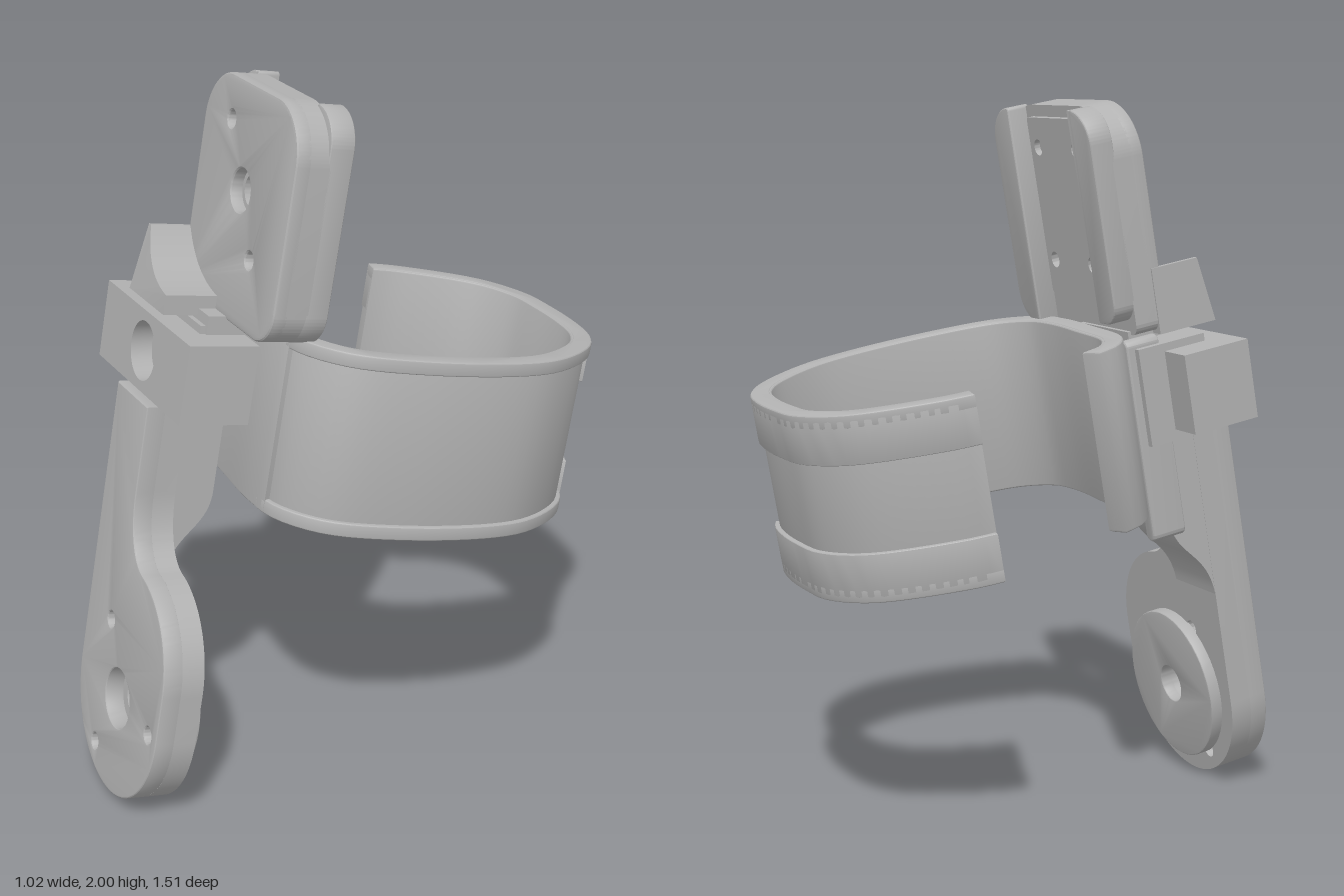
import * as THREE from 'three';
import { toCreasedNormals } from 'three/addons/utils/BufferGeometryUtils.js';

const grey = new THREE.MeshStandardMaterial({ color: 0xb2b2b2 });
grey.name = 'matte grey';

export function createModel() {
  const model = new THREE.Group();
  model.name = 'strapMountBracket';
  // the whole bracket leans back and turns a little
  const rig = new THREE.Group();
  rig.name = 'bracket';
  rig.position.set(0, 1, 0);
  rig.rotation.set(-Math.PI / 18, -Math.PI / 18, 0, 'YXZ');
  model.add(rig);

  const add = (name, geo) => {
    const m = new THREE.Mesh(toCreasedNormals(geo, 0.4), grey);
    m.name = name;
    rig.add(m);
  };
  const extrude = (shape, from, to, bevel = 0) => {
    const g = new THREE.ExtrudeGeometry(shape, {
      depth: to - from - 2 * bevel, bevelEnabled: bevel > 0, bevelThickness: bevel,
      bevelSize: bevel, bevelOffset: -bevel, bevelSegments: 3, curveSegments: 24,
    });
    g.translate(0, 0, from + bevel);
    return g;
  };
  // flat part in the xy plane, from depth z0 to z1
  const plate = (name, shape, z0, z1, bevel) => add(name, extrude(shape, z0, z1, bevel));
  const holes = (shape, list) => {
    for (const [x, y, r] of list) {
      const p = new THREE.Path();
      p.absarc(x, y, r, 0, Math.PI * 2, true);
      shape.holes.push(p);
    }
    return shape;
  };
  // rectangle with four corner radii: bottom left, bottom right, top right, top left
  const roundRect = (x0, x1, y0, y1, [a, b, c, d] = [0, 0, 0, 0]) => {
    const s = new THREE.Shape(), H = Math.PI / 2;
    s.moveTo(x0 + a, y0);
    s.lineTo(x1 - b, y0);
    if (b) s.absarc(x1 - b, y0 + b, b, -H, 0, false);
    s.lineTo(x1, y1 - c);
    if (c) s.absarc(x1 - c, y1 - c, c, 0, H, false);
    s.lineTo(x0 + d, y1);
    if (d) s.absarc(x0 + d, y1 - d, d, H, 2 * H, false);
    s.lineTo(x0, y0 + a);
    if (a) s.absarc(x0 + a, y0 + a, a, 2 * H, 3 * H, false);
    return s;
  };

  // ---- open strap ring: strips that follow one plan curve ----
  const plan = new THREE.CatmullRomCurve3([
    [-0.37, 0.12], [-0.34, 0.195], [-0.25, 0.26], [-0.05, 0.287], [0.15, 0.3], [0.27, 0.28],
    [0.38, 0.185], [0.443, -0.022], [0.456, -0.28], [0.423, -0.431], [0.313, -0.597],
    [0.21, -0.665], [0.093, -0.692], [-0.05, -0.7], [-0.18, -0.69], [-0.319, -0.608],
    [-0.442, -0.38], [-0.46, -0.3],
  ].map(([x, z]) => new THREE.Vector3(x, 0, z)), false, 'centripetal');
  const strip = (name, u0, u1, inner, outer, y0, y1, bevel) => {
    const n = Math.ceil(70 * (u1 - u0)) + 2, out = [], inn = [];
    for (let i = 0; i <= n; i++) {
      const u = Math.min(1, u0 + (u1 - u0) * (i / n));
      const p = plan.getPointAt(u), t = plan.getTangentAt(u);
      const at = d => new THREE.Vector2(p.x - t.z * d, -(p.z + t.x * d));
      out.push(at(outer));
      inn.unshift(at(inner));
    }
    const g = extrude(new THREE.Shape([...out, ...inn]), y0, y1, bevel);
    g.rotateX(-Math.PI / 2);
    add(name, g);
  };
  strip('strapBand', 0, 1, -0.06, -0.014, -0.183, 0.323, 0.006);
  strip('strapFrontPad', 0, 0.245, -0.055, 0, -0.185, 0.325, 0.008);
  strip('strapUpperRim', 0.23, 1, -0.055, 0, 0.285, 0.325, 0.006);
  strip('strapLowerRim', 0.23, 1, -0.055, 0, -0.185, -0.145, 0.006);
  strip('strapUpperGuide', 0.66, 1, -0.045, 0, 0.19, 0.31, 0.004);
  strip('strapLowerGuide', 0.66, 1, -0.045, 0, -0.17, -0.05, 0.004);

  // ---- clamp block with a counterbored screw hole ----
  const cx = -0.135, cy = 0.157;
  const clamp = r => holes(roundRect(-0.424, 0.154, 0.046, 0.268), [[cx, cy, r]]);
  plate('clampFront', clamp(0.083), 0.485, 0.548);
  plate('clampBack', clamp(0.045), 0.345, 0.485);
  plate('clampCore', holes(roundRect(-0.32, 0.05, 0.015, 0.29), [[cx, cy, 0.045]]), 0.265, 0.475);
  plate('railPost', roundRect(-0.3, -0.255, -0.26, 0.315, [0.02, 0.02, 0.02, 0.02]), 0.24, 0.345, 0.008);

  // ---- lower arm with a round mounting foot ----
  const hx = 0.033, hy = -0.816, R = 0.279;
  const screws = [0, 1, 2].map(i => {
    const a = i * Math.PI * 2 / 3;
    return [hx + 0.222 * Math.cos(a), hy + 0.222 * Math.sin(a), 0.024];
  });
  const armShape = r => {
    const s = new THREE.Shape();
    s.moveTo(-0.246, 0.03);
    s.lineTo(hx - R, hy);
    s.absarc(hx, hy, R, Math.PI, Math.PI * 2, false);
    s.lineTo(hx + R, -0.68);
    s.absarc(hx + R - 0.265, -0.68, 0.265, 0, Math.PI * 0.46, false);
    s.bezierCurveTo(0.01, -0.4, -0.03, -0.32, -0.03, -0.22);
    s.lineTo(-0.03, 0.03);
    return holes(s, [[hx, hy, r], ...screws]);
  };
  plate('armFront', armShape(0.085), 0.5, 0.56, 0.006);
  plate('armBack', armShape(0.055), 0.44, 0.505);
  const disc = new THREE.Shape();
  disc.absarc(hx, hy, 0.225, 0, Math.PI * 2, false);
  plate('footDisc', holes(disc, [[hx, hy, 0.055]]), 0.405, 0.445, 0.004);

  // thick upper arm, its back sweeping down into the foot
  const sweep = new THREE.Shape();
  sweep.moveTo(-0.5, 0.03);
  sweep.lineTo(-0.325, 0.03);
  sweep.lineTo(-0.325, -0.22);
  sweep.bezierCurveTo(-0.325, -0.34, -0.43, -0.34, -0.44, -0.48);
  sweep.lineTo(-0.5, -0.48);
  const sweepGeo = extrude(sweep, -0.245, -0.03);
  sweepGeo.rotateY(Math.PI / 2);
  add('armSweep', sweepGeo);

  // ---- upper head: rounded plate with side walls, open at the back ----
  const small = [[-0.078, 0.825, 0.023], [0.14, 0.5, 0.023]];
  const others = [[0.14, 0.825, 0.023], [-0.078, 0.5, 0.023]];
  const head = r => holes(roundRect(-0.246, 0.325, 0.31, 0.943, [0.03, 0.1, 0.15, 0.15]),
    [[0.033, 0.66, r], ...small]);
  plate('headFront', head(0.057), 0.36, 0.41, 0.01);
  plate('headBack', head(0.043), 0.31, 0.375);
  plate('headInnerPlate', holes(roundRect(-0.12, 0.185, 0.4, 0.91, [0.01, 0.01, 0.01, 0.01]),
    [...small, ...others]), 0.292, 0.312);
  plate('headWallRight', roundRect(-0.246, -0.145, 0.35, 0.943, [0.06, 0.01, 0.01, 0.098]), 0.25, 0.32, 0.006);
  plate('headWallLeft', roundRect(0.215, 0.325, 0.31, 0.943, [0.01, 0.098, 0.1, 0.01]), 0.25, 0.32, 0.006);

  // ---- neck and curved gusset between clamp and head ----
  plate('neck', roundRect(-0.21, 0.06, 0.26, 0.32), 0.3, 0.46);
  const gusset = new THREE.Shape();
  gusset.moveTo(-0.25, 0.3);
  gusset.lineTo(-0.01, 0.3);
  gusset.lineTo(-0.01, 0.355);
  gusset.quadraticCurveTo(-0.16, 0.37, -0.235, 0.485);
  gusset.lineTo(-0.25, 0.485);
  const gussetGeo = extrude(gusset, 0.38, 0.56);
  // the gusset's front slopes back toward its tip
  const pos = gussetGeo.attributes.position;
  for (let i = 0; i < pos.count; i++) {
    if (pos.getZ(i) > 0.5) pos.setZ(i, 0.56 - 0.25 * Math.max(0, pos.getY(i) - 0.355));
  }
  add('gusset', gussetGeo);
  return model;
}
